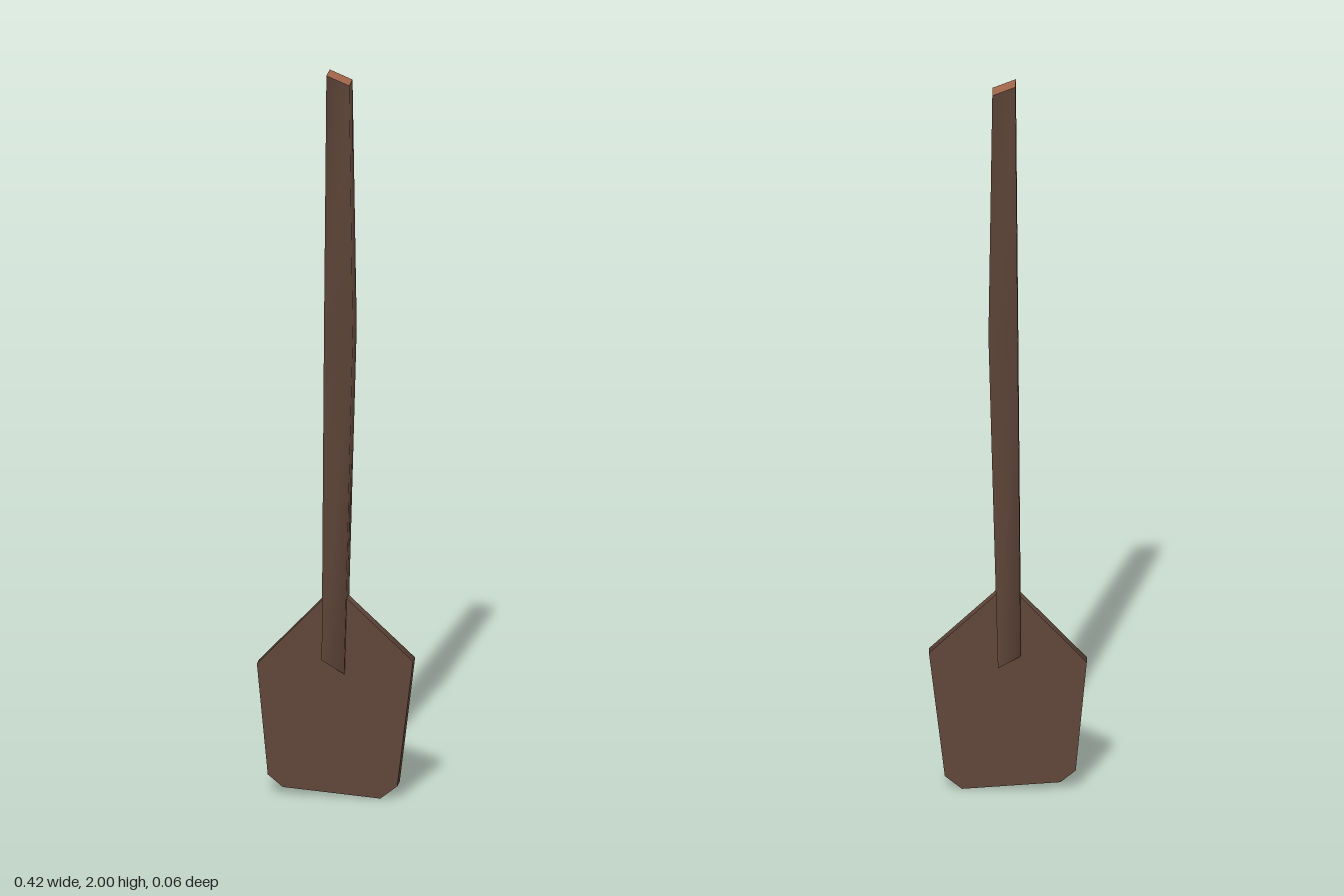
import * as THREE from 'three';
import { toCreasedNormals } from 'three/addons/utils/BufferGeometryUtils.js';

// Handle cross-sections: left x, y on that side, right x, y on that side, back z, front z
const sections = [
  [-0.035, 0.38, 0.025, 0.345, -0.03, 0.022],
  [-0.027, 1.31, 0.05, 1.29, -0.033, 0.032],
  [-0.021, 2.0, 0.04, 1.975, -0.026, 0.03],
];

// Four corners of a section, counter-clockwise seen from above
function corners([x0, y0, x1, y1, z0, z1]) {
  return [[x0, y0, z1], [x1, y1, z1], [x1, y1, z0], [x0, y0, z0]];
}

function fromCorners(points, index) {
  const geometry = new THREE.BufferGeometry();
  geometry.setAttribute('position', new THREE.Float32BufferAttribute(points.flat(), 3));
  geometry.setIndex(index);
  geometry.computeVertexNormals();
  return geometry;
}

function addPart(group, name, geometry, material) {
  const mesh = new THREE.Mesh(geometry, material);
  mesh.name = name;
  group.add(mesh);
}

export function createModel() {
  const group = new THREE.Group();
  group.name = 'paddle';
  const darkWood = new THREE.MeshStandardMaterial({ color: 0x60463a });
  darkWood.name = 'dark wood';
  const cutWood = new THREE.MeshStandardMaterial({ color: 0xa5694c });
  cutWood.name = 'cut wood';

  // Slightly bowed square handle, smooth around its sides and lower end
  const index = [0, 2, 1, 0, 3, 2];
  for (let s = 0; s < sections.length - 1; s++) {
    for (let i = 0; i < 4; i++) {
      const a = s * 4 + i, b = s * 4 + (i + 1) % 4;
      index.push(a, b, b + 4, a, b + 4, a + 4);
    }
  }
  addPart(group, 'handle', fromCorners(sections.flatMap(corners), index), darkWood);

  // Slanted cut at the top of the handle
  addPart(group, 'handleEnd', fromCorners(corners(sections[2]), [0, 1, 2, 0, 2, 3]), cutWood);

  // Flat blade with an uneven outline
  const outline = [
    [-0.035, 0.545], [-0.209, 0.36], [-0.18, 0.055], [-0.14, 0.022],
    [0.12, 0.002], [0.165, 0.038], [0.207, 0.385], [0.03, 0.552],
  ].map(([x, y]) => new THREE.Vector2(x, y));
  const blade = new THREE.ExtrudeGeometry(new THREE.Shape(outline), { depth: 1, bevelEnabled: false });

  // Taper the thickness towards the top and twist the blade a little
  const p = blade.attributes.position;
  for (let i = 0; i < p.count; i++) {
    const x = p.getX(i), y = p.getY(i);
    p.setZ(i, p.getZ(i) > 0.5 ? 0.0125 - 0.01 * x : -0.031 + 0.02 * y - 0.012 * x);
  }
  addPart(group, 'blade', toCreasedNormals(blade, 1), darkWood);

  return group;
}
